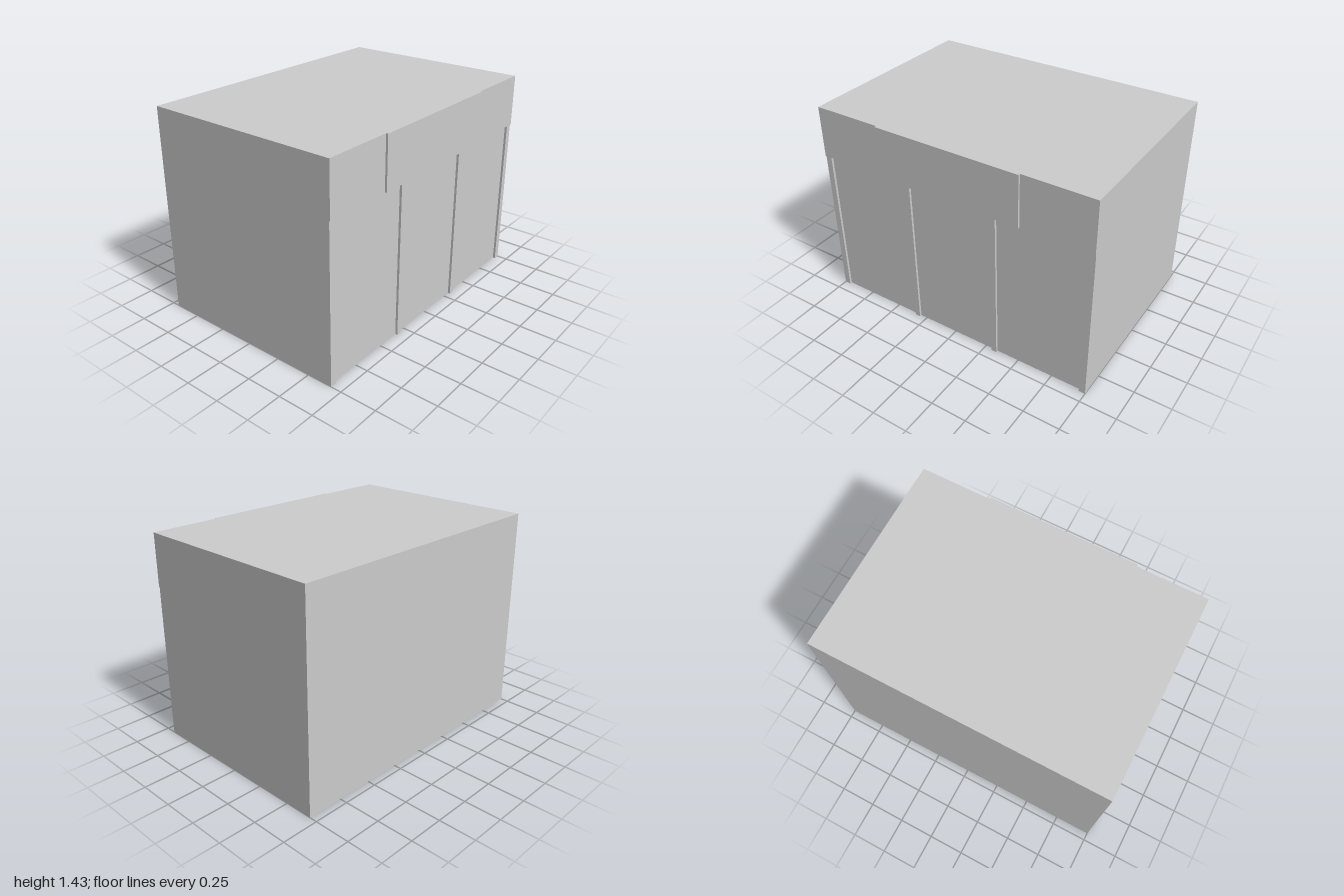
import * as THREE from 'three';

export function createModel() {
  const group = new THREE.Group();
  const grey = new THREE.MeshStandardMaterial({ color: 0xcccccc });
  grey.name = 'light grey';

  // Box given by its extents along each axis
  const addBox = (name, x0, x1, y0, y1, z0, z1) => {
    const mesh = new THREE.Mesh(new THREE.BoxGeometry(x1 - x0, y1 - y0, z1 - z0), grey);
    mesh.position.set((x0 + x1) / 2, (y0 + y1) / 2, (z0 + z1) / 2);
    mesh.name = name;
    group.add(mesh);
  };

  const back = -0.697, wall = 0.661, pillar = 0.677, fascia = 0.683, sign = 0.697;
  const top = 1.433, lintel = 1.077;

  // Main block, its front wall set slightly back
  addBox('building', -1, 1, 0, top, back, wall);

  // Four slim pillars dividing the front into three bays
  for (const [x, w] of [[-0.978, 0.044], [-0.318, 0.038], [0.322, 0.038], [0.978, 0.044]]) {
    addBox('pillar', x - w / 2, x + w / 2, 0, lintel, wall, pillar);
  }

  // Band across the top of the front, with a raised central panel
  addBox('fascia', -1, 1, lintel, top, wall, fascia);
  addBox('signPanel', -0.517, 0.514, lintel, top, fascia, sign);

  return group;
}
